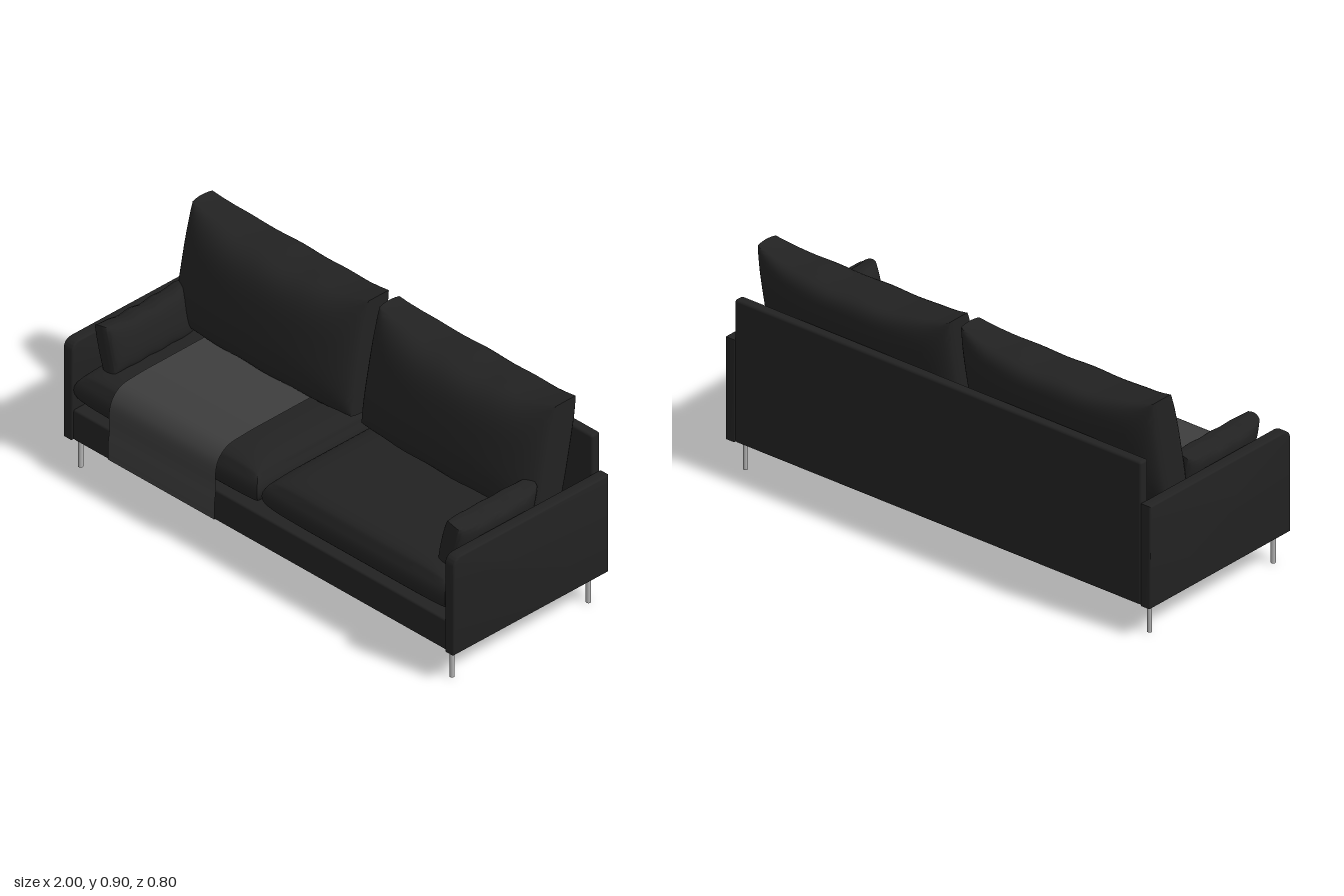
import * as THREE from 'three';
import { toCreasedNormals } from 'three/addons/utils/BufferGeometryUtils.js';
import { RoundedBoxGeometry } from 'three/addons/geometries/RoundedBoxGeometry.js';

// Stuffed cushion: width on x, height on y, thickness on z; edge and full are half thicknesses.
function cushionGeometry({ w, h, edge, full, pu, pv, bulge = 0, ear = 0, lean = 0, ripple = 0 }) {
  const g = new THREE.BoxGeometry(2, 2, 2, 32, 24, 6);
  const p = g.attributes.position;
  const ease = (t) => Math.sin((t * Math.PI) / 2);
  for (let i = 0; i < p.count; i++) {
    const u = ease(p.getX(i)), v = ease(p.getY(i)), s = p.getZ(i);
    const fill = Math.sqrt(Math.max(0, (1 - Math.abs(u) ** pu) * (1 - Math.abs(v) ** pv)));
    const half = edge + (full - edge) * fill;
    // Corners rise into ears and the upper edge sags between them
    const sag = ear * (Math.abs(u) ** 3 - 1) * Math.max(0, v) ** 3;
    const wave = ripple * Math.sin(u * 11 + v * 3) * v * v * (1 - u * u);
    p.setXYZ(i,
      u * (w / 2 - bulge * s * s),
      v * (h / 2 - bulge * s * s) + sag + wave,
      s * half + lean * v);
  }
  return toCreasedNormals(g, 0.8);
}

export function createModel() {
  const sofa = new THREE.Group();
  sofa.name = 'sofa';

  const fabric = new THREE.MeshStandardMaterial({ color: 0x222222 });
  fabric.name = 'charcoal fabric';
  const wool = new THREE.MeshStandardMaterial({ color: 0x3d3d3d, side: THREE.DoubleSide });
  wool.name = 'grey throw';
  const metal = new THREE.MeshStandardMaterial({ color: 0xb2b2b2 });
  metal.name = 'brushed metal';

  const add = (name, geometry, material, x = 0, y = 0, z = 0) => {
    const mesh = new THREE.Mesh(geometry, material);
    mesh.name = name;
    mesh.position.set(x, y, z);
    sofa.add(mesh);
    return mesh;
  };

  // Frame: base and back panel between the arms
  add('base', new RoundedBoxGeometry(1.912, 0.13, 0.77, 3, 0.008), fabric, 0, 0.193, -0.011);
  add('backPanel', new RoundedBoxGeometry(1.91, 0.582, 0.042, 3, 0.01), fabric, 0, 0.419, -0.379);

  // Arm side outline (z, y) with a rounded top front corner
  const outline = new THREE.Shape();
  outline.moveTo(-0.4, 0.128);
  outline.lineTo(0.38, 0.128);
  outline.lineTo(0.38, 0.5);
  outline.quadraticCurveTo(0.38, 0.545, 0.335, 0.545);
  outline.lineTo(-0.4, 0.545);
  outline.closePath();
  const bevel = 0.007, armWidth = 0.048;
  const armGeo = toCreasedNormals(new THREE.ExtrudeGeometry(outline, {
    depth: armWidth - 2 * bevel, bevelEnabled: true, bevelThickness: bevel,
    bevelSize: bevel, bevelOffset: -bevel, bevelSegments: 3, curveSegments: 10,
  }).rotateY(-Math.PI / 2).translate(armWidth / 2 - bevel, 0, 0), 0.6);

  const seatGeo = cushionGeometry({
    w: 0.94, h: 0.75, edge: 0.05, full: 0.095, pu: 8, pv: 6, bulge: 0.02,
  }).rotateX(-Math.PI / 2);
  const backGeo = cushionGeometry({
    w: 0.91, h: 0.465, edge: 0.05, full: 0.143, pu: 2.6, pv: 3, bulge: 0.004,
    ear: 0.038, lean: -0.045, ripple: 0.003,
  });
  const rollGeo = cushionGeometry({
    w: 0.41, h: 0.2, edge: 0.028, full: 0.06, pu: 4, pv: 2.5, bulge: 0.006,
    ear: 0.012, ripple: 0.004,
  }).rotateY(Math.PI / 2);

  const legGeo = new THREE.CylinderGeometry(0.0095, 0.0095, 0.12, 20);
  const bracketGeo = new RoundedBoxGeometry(0.08, 0.012, 0.02, 2, 0.004);

  for (const side of [-1, 1]) {
    const label = side > 0 ? 'left' : 'right';
    add(label + 'Arm', armGeo, fabric, side * (1 - armWidth / 2));
    add(label + 'SeatCushion', seatGeo, fabric, side * 0.481, 0.345, 0);
    add(label + 'BackCushion', backGeo, fabric, side * 0.478, 0.67, -0.207);
    add(label + 'ArmPillow', rollGeo, fabric, side * 0.879, 0.512, 0.09).rotation.z = -side * 0.25;

    // Metal legs with a short bracket pointing inward under the base
    for (const [end, z] of [['Front', 0.34], ['Back', -0.345]]) {
      add(label + end + 'Leg', legGeo, metal, side * 0.95, 0.06, z);
      add(label + end + 'LegBracket', bracketGeo, metal, side * 0.918, 0.118, z);
    }
  }

  // Throw draped over the right seat and down the front
  const drape = new THREE.CatmullRomCurve3([
    [0.449, -0.13], [0.448, 0.1], [0.446, 0.24], [0.434, 0.333], [0.397, 0.374],
    [0.345, 0.389], [0.28, 0.387], [0.21, 0.395], [0.147, 0.394],
  ].map(([y, z]) => new THREE.Vector3(0, y, z)));
  const throwGeo = new THREE.PlaneGeometry(0.545, 1, 8, 48);
  const tp = throwGeo.attributes.position;
  for (let i = 0; i < tp.count; i++) {
    const q = drape.getPoint(0.5 - tp.getY(i));
    tp.setXYZ(i, tp.getX(i), q.y, q.z);
  }
  throwGeo.computeVertexNormals();
  add('throwBlanket', throwGeo, wool, -0.482);

  return sofa;
}
